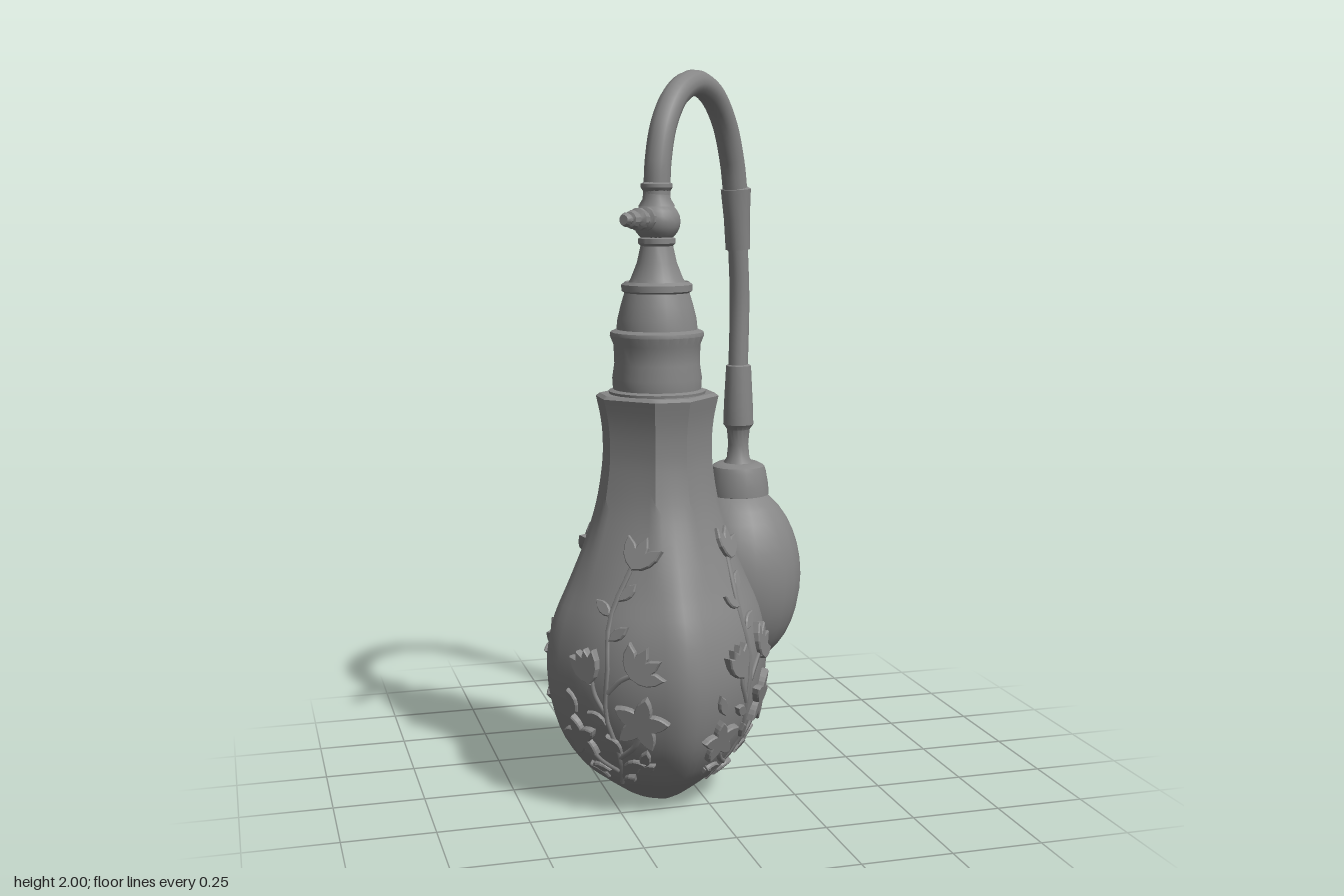
import * as THREE from 'three';
import { mergeVertices, toCreasedNormals } from 'three/addons/utils/BufferGeometryUtils.js';

const mat = new THREE.MeshStandardMaterial({ color: 0x868686, side: THREE.DoubleSide });
const V2 = (x, y) => new THREE.Vector2(x, y);
const V3 = (x, y, z) => new THREE.Vector3(x, y, z);
const BOTTLE = V3(-0.107, 0, 0.105), BULB = V3(0.233, 0, -0.233);

function mesh(geo, name, parent) {
  const m = new THREE.Mesh(geo, mat);
  m.name = name;
  parent.add(m);
  return m;
}
function lathe(points, name, parent, sides = 28, crease = 0.6) {
  const g = new THREE.LatheGeometry(points.map(([r, y]) => V2(r, y)), sides);
  return mesh(toCreasedNormals(g, crease), name, parent);
}
// Half-circle profile of an ellipsoid
function ovalProfile(r, h, y, n) {
  return Array.from({ length: n + 1 }, (_, i) => {
    const a = -Math.PI / 2 + (i / n) * Math.PI;
    return [Math.max(0, Math.cos(a) * r), y + Math.sin(a) * h];
  });
}

// Bottle radius by height
const profile = new THREE.SplineCurve([
  [0.085, 0.005], [0.15, 0.05], [0.215, 0.105], [0.28, 0.21], [0.313, 0.36], [0.297, 0.5], [0.247, 0.62],
  [0.2, 0.73], [0.165, 0.83], [0.146, 0.93], [0.143, 1.0], [0.148, 1.06], [0.16, 1.12],
].map(p => V2(...p))).getPoints(44);

// Cross-section: neck with four narrow and four wide flats, softly ridged belly
const BELLY = [1, 0.988, 0.96, 0.937, 0.924, 0.915, 0.91, 0.907, 0.906];
function section(theta, y) {
  const q = Math.PI / 2, e = Math.PI / 4;
  const a = Math.abs(theta - q * Math.round(theta / q));
  const neck = Math.min(1 / Math.cos(a), 0.921 / Math.cos(e - a));
  const f = Math.min((a / e) * 8, 7.999), i = Math.floor(f);
  const belly = THREE.MathUtils.lerp(BELLY[i], BELLY[i + 1], f - i);
  return THREE.MathUtils.lerp(belly, neck, THREE.MathUtils.smoothstep(y, 0.5, 1.0));
}
function radius(theta, y) {
  let i = 1;
  while (i < profile.length - 1 && profile[i].y < y) i++;
  const a = profile[i - 1], b = profile[i];
  return THREE.MathUtils.mapLinear(y, a.y, b.y, a.x, b.x) * section(theta, y);
}
function surface(theta, y) {
  const r = radius(theta, y);
  return V3(Math.sin(theta) * r, y, Math.cos(theta) * r);
}
function buildBottle(parent) {
  const pts = [V2(0, 0.02), V2(0.06, 0.015), V2(0.075, 0), ...profile, V2(0.15, 1.128), V2(0, 1.128)];
  const g = new THREE.LatheGeometry(pts, 64);
  const p = g.attributes.position;
  for (let i = 0; i < p.count; i++) {
    const k = section(Math.atan2(p.getX(i), p.getZ(i)), p.getY(i));
    p.setXYZ(i, p.getX(i) * k, p.getY(i), p.getZ(i) * k);
  }
  g.deleteAttribute('uv');
  g.deleteAttribute('normal');
  mesh(toCreasedNormals(mergeVertices(g, 1e-5), 0.6), 'bottle', parent);
}

// Relief ornaments, each a thin extruded outline
function leafShape(l, w) {
  const s = new THREE.Shape();
  s.moveTo(0, 0);
  s.quadraticCurveTo(w, l * 0.5, 0, l);
  s.quadraticCurveTo(-w, l * 0.5, 0, 0);
  return s;
}
function flowerShape(r) {
  const s = new THREE.Shape();
  const at = (a, k) => [Math.sin(a) * r * k, Math.cos(a) * r * k];
  s.moveTo(...at(0, 1));
  for (let i = 1; i <= 5; i++) {
    const a = (i * 2 * Math.PI) / 5, h = a - Math.PI / 5;
    s.quadraticCurveTo(...at(h - 0.3, 0.8), ...at(h, 0.48));
    s.quadraticCurveTo(...at(h + 0.3, 0.8), ...at(a, 1));
  }
  return s;
}
function relief(shape, depth) {
  const g = new THREE.ExtrudeGeometry(shape, {
    depth, curveSegments: 4, bevelEnabled: true, bevelThickness: 0.004, bevelSize: 0.003, bevelSegments: 1,
  });
  return g.translate(0, 0, -0.012);
}
const FLOWER = relief(flowerShape(0.076), 0.022);
const LOW_FLOWER = relief(flowerShape(0.062), 0.022);
const PETAL = relief(leafShape(0.09, 0.034), 0.02);
const LEAF = relief(leafShape(0.06, 0.026), 0.016);

// One floral panel; u is the distance sideways from the panel's middle
function buildPanel(panel, parent) {
  const g = new THREE.Group();
  g.name = 'floralRelief';
  parent.add(g);
  const angle = (u, y) => panel + u / radius(panel, y);
  const place = (geo, name, u, y, rot) => {
    const t = angle(u, y);
    const side = surface(t + 0.08, y).sub(surface(t - 0.08, y)).normalize();
    const up = surface(t, y + 0.03).sub(surface(t, y - 0.03));
    const n = side.clone().cross(up).normalize();
    up.copy(n).cross(side);
    const m = mesh(geo, name, g);
    m.quaternion.setFromRotationMatrix(new THREE.Matrix4().makeBasis(side, up, n));
    m.rotateZ(-rot);
    m.position.copy(surface(t, y));
  };
  for (const pts of [
    [[-0.02, 0.07], [0.02, 0.18], [0.0, 0.3], [0.01, 0.42], [0.0, 0.55], [0.04, 0.7]],
    [[0.0, 0.3], [-0.03, 0.35], [-0.04, 0.39]],
    [[0.01, 0.36], [0.05, 0.4], [0.09, 0.42]],
    [[0.02, 0.17], [0.07, 0.21], [0.1, 0.26]],
    [[0.0, 0.12], [-0.05, 0.15], [-0.09, 0.2]],
  ]) {
    const c = new THREE.CatmullRomCurve3(pts.map(([u, y]) => surface(angle(u, y), y)));
    mesh(new THREE.TubeGeometry(c, 14, 0.008, 5), 'stem', g);
  }
  place(FLOWER, 'openFlower', 0.1, 0.285, 0.25);
  place(LOW_FLOWER, 'lowFlower', -0.095, 0.215, -0.2);
  // Fans of petals: tip bloom, left tulip, right bloom
  for (const [u, y, turn, spread, n] of [
    [0.04, 0.68, 0.35, 0.6, 3], [-0.04, 0.38, -0.35, 0.3, 4], [0.08, 0.41, 0.75, 0.55, 4],
  ])
    for (let i = 0; i < n; i++) place(PETAL, 'petal', u, y, turn + (i - (n - 1) / 2) * spread);
  // Leaves along the stems
  for (const [u, y, rot] of [
    [0.0, 0.56, -0.9], [0.02, 0.6, 0.7], [0.01, 0.5, 0.9], [0.0, 0.27, -1.1], [0.03, 0.19, -0.6], [0.03, 0.15, 1.4],
    [-0.03, 0.12, -1.5], [0.06, 0.13, 1.0], [0.0, 0.08, 0.8], [-0.05, 0.09, -0.6], [0.08, 0.15, 0.3], [-0.1, 0.29, -0.4],
  ]) place(LEAF, 'leaf', u, y, rot);
}

// Stepped collar, ball joint and spray nozzle above the bottle
function buildCollar(parent) {
  lathe([
    [0.13, 1.118], [0.132, 1.135], [0.12, 1.14], [0.122, 1.17], [0.116, 1.21], [0.118, 1.26], [0.128, 1.285],
    [0.126, 1.295], [0.11, 1.302], [0.107, 1.33], [0.097, 1.37], [0.088, 1.4], [0.096, 1.405], [0.096, 1.422],
    [0.086, 1.43], [0.078, 1.425], [0.07, 1.44], [0.054, 1.48], [0.044, 1.525], [0.05, 1.532], [0.05, 1.545],
    [0.04, 1.55],
  ], 'collar', parent);
  lathe(ovalProfile(0.064, 0.058, 1.59, 12), 'ballJoint', parent, 20);
  lathe([[0.05, 1.63], [0.038, 1.65], [0.036, 1.67], [0.043, 1.68], [0.043, 1.69], [0.034, 1.695]], 'hoseFitting', parent, 18);
  const nozzle = lathe([
    [0.03, 0.04], [0.032, 0.065], [0.022, 0.07], [0.02, 0.085], [0.03, 0.09], [0.03, 0.103], [0.019, 0.11],
    [0.019, 0.122], [0.025, 0.126], [0.021, 0.142], [0.014, 0.145], [0.014, 0.156], [0.019, 0.159], [0.013, 0.172], [0, 0.172],
  ], 'sprayNozzle', parent, 12, 0.5);
  nozzle.position.y = 1.598;
  nozzle.quaternion.setFromUnitVectors(V3(0, 1, 0), V3(-1, 0, 1).normalize());
}

// Hose path lies in the diagonal plane between bottle and bulb
function buildHose(parent) {
  const tube = (pts, r, name) => {
    const c = new THREE.CatmullRomCurve3(pts.map(([x, y]) => V3(x, y, -x)));
    mesh(new THREE.TubeGeometry(c, 40, r, 14), name, parent);
  };
  tube([
    [-0.107, 1.66], [-0.102, 1.75], [-0.079, 1.85], [-0.03, 1.93], [0.04, 1.964], [0.11, 1.937],
    [0.165, 1.86], [0.2, 1.75], [0.216, 1.65],
  ], 0.036, 'hoseArch');
  tube([[0.216, 1.66], [0.228, 1.5], [0.236, 1.35], [0.231, 1.15]], 0.029, 'hoseDrop');
  const upper = lathe([[0.028, -0.09], [0.036, -0.09], [0.038, 0], [0.044, 0.085], [0.034, 0.09]], 'upperSleeve', parent, 14);
  upper.position.set(0.222, 1.588, -0.222);
  upper.rotation.set(0.06, 0, 0.06);
}

function buildBulb(parent) {
  const g = new THREE.Group();
  g.name = 'squeezeBulb';
  g.position.copy(BULB);
  parent.add(g);
  lathe([
    [0.05, 0.855], [0.034, 0.88], [0.03, 0.92], [0.034, 0.965], [0.045, 0.98], [0.043, 1.04], [0.037, 1.155], [0.027, 1.16],
  ], 'lowerSleeve', g, 16);
  lathe([
    [0.07, 0.765], [0.092, 0.77], [0.09, 0.8], [0.083, 0.84], [0.078, 0.855], [0.06, 0.865], [0.03, 0.865],
  ], 'bulbCap', g, 20);
  lathe(ovalProfile(0.19, 0.275, 0.523, 18), 'bulb', g, 24, 1);
}

export function createModel() {
  const root = new THREE.Group();
  root.name = 'perfumeAtomizer';
  const flask = new THREE.Group();
  flask.name = 'flask';
  flask.position.copy(BOTTLE);
  root.add(flask);
  buildBottle(flask);
  for (let k = 0; k < 4; k++) buildPanel(Math.PI / 4 + (k * Math.PI) / 2, flask);
  buildCollar(flask);
  buildHose(root);
  buildBulb(root);
  return root;
}
